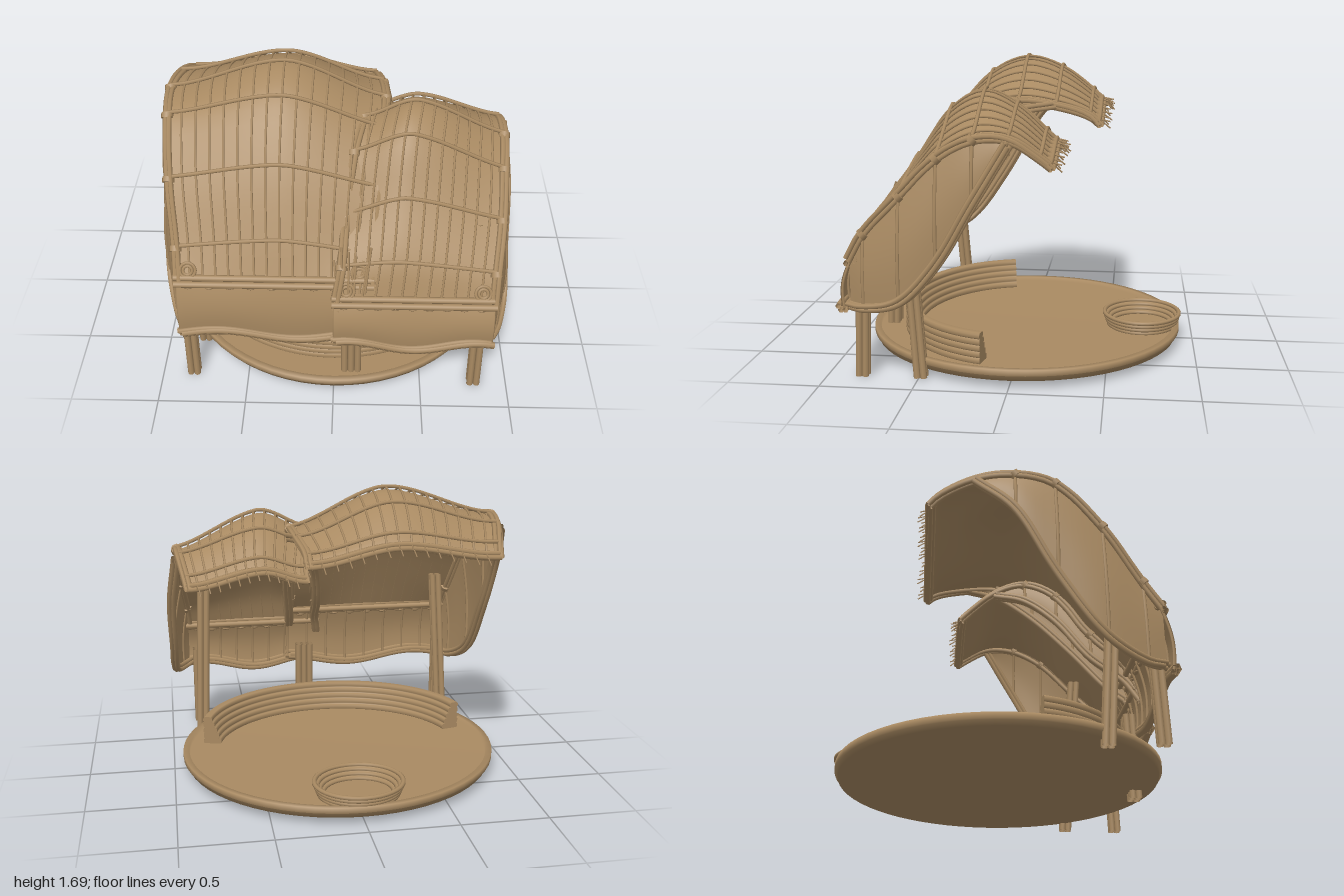
import * as THREE from 'three';

const V = (x, y, z) => new THREE.Vector3(x, y, z);
const lerp = THREE.MathUtils.lerp;
const bamboo = new THREE.MeshStandardMaterial({ color: 0xa98a62, side: THREE.DoubleSide });
bamboo.name = 'bamboo';

function add(group, geometry, name) {
  const mesh = new THREE.Mesh(geometry, bamboo);
  mesh.name = name;
  group.add(mesh);
  return mesh;
}

// A cane following a list of points
function cane(group, pts, r, name, sides = 6) {
  const curve = new THREE.CatmullRomCurve3(pts);
  const segs = pts.length === 2 ? 1 : Math.max(12, pts.length * 2);
  return add(group, new THREE.TubeGeometry(curve, segs, r, sides), name);
}

// Several canes side by side along one path
function bundle(group, pts, r, name, n = 4) {
  for (let i = 0; i < n; i++) {
    const a = (i / n) * Math.PI * 2 + 0.6;
    const off = V(Math.cos(a) * r, Math.sin(a) * r, Math.sin(a + 0.9) * r);
    cane(group, pts.map(p => p.clone().add(off)), r, name);
  }
}

// Surface from a function f(u, v) returning a point
function sheet(group, f, nu, nv, name) {
  const pos = [], idx = [];
  for (let j = 0; j <= nv; j++)
    for (let i = 0; i <= nu; i++) pos.push(...f(i / nu, j / nv).toArray());
  for (let j = 0; j < nv; j++)
    for (let i = 0; i < nu; i++) {
      const a = j * (nu + 1) + i, b = a + nu + 1;
      idx.push(a, a + 1, b, a + 1, b + 1, b);
    }
  const g = new THREE.BufferGeometry();
  g.setAttribute('position', new THREE.Float32BufferAttribute(pos, 3));
  g.setIndex(idx);
  g.computeVertexNormals();
  return add(group, g, name);
}

const sample = (n, f) => Array.from({ length: n + 1 }, (_, i) => f(i / n));

// Canopy shell: each row is [z, ridge y, left y, right y, left x, right x], front to back
function canopy(name, { rows, ridge, lowY, ribs, wave, inner }) {
  const g = new THREE.Group();
  g.name = name;
  const last = rows.length - 1;
  const peak = new THREE.CatmullRomCurve3(rows.map(r => V(0, r[1], r[0])));
  const eaves = [2, 3].map(k => new THREE.CatmullRomCurve3(rows.map(r => V(r[k + 2], r[k], r[0]))));
  // Arch is a rounded gable in front, turning bell-shaped at the back
  const rise = (t, v) => lerp(0.5 * t + 0.5 * Math.sin(t * Math.PI / 2),
    THREE.MathUtils.smoothstep(t, 0, 1), Math.min(1, 1.2 * v));
  const roof = (u, v, lift = 0) => {
    const [L, R] = eaves.map(e => e.getPoint(v));
    const h = rise(u < ridge ? u / ridge : (1 - u) / (1 - ridge), v);
    const p = L.clone().lerp(R, u);
    p.y += h * (peak.getPoint(v).y - lerp(L.y, R.y, ridge)) + lift;
    return p;
  };
  sheet(g, (u, v) => roof(u, v), 28, 32, 'roofSkin');

  // Long ribs with spiky tips past the back edge
  for (let i = 1; i < ribs; i++) {
    const u = i / ribs;
    const pts = sample(20, v => roof(u, v, 0.012));
    cane(g, pts, 0.007, 'roofRib', 5);
    const end = pts[20], len = 0.045 + 0.025 * ((i * 7) % 5) / 4;
    for (const d of [-0.012, 0.008])
      cane(g, [end, V(end.x + d, end.y - 0.03 + 2 * d, end.z - len)], 0.004, 'ribTip', 4);
  }
  // Cross poles over the ribs
  for (let k = 1; k < last; k++)
    cane(g, sample(16, u => roof(u, k / last, 0.02)), 0.011, 'crossPole');
  // Edge bundles
  for (const u of [0, 1]) bundle(g, sample(16, v => roof(u, v)), 0.015, 'eaveBundle');
  bundle(g, sample(12, u => roof(u, 1)), 0.015, 'backEdgeBundle');

  // Side walls: deep and flaring outside, a narrow strip where the canopies overlap
  const flare = [0, 0.03, 0.052, 0.05, 0.045, 0.02];
  eaves.forEach((eave, k) => {
    const dir = k ? 1 : -1;
    const depth = k === inner ? 0.28 : 1;
    const low = new THREE.CatmullRomCurve3(lowY.map((y, i) => V(
      rows[i][4 + k] + dir * depth * flare[i], lerp(rows[i][2 + k], y, depth), rows[i][0])));
    const wall = (t, v) => {
      const p = low.getPoint(v).lerp(eave.getPoint(v * 5 / last), t);
      p.x += dir * depth * 0.025 * Math.sin(t * Math.PI) * Math.sin(Math.PI * v);
      return p;
    };
    sheet(g, wall, 8, 24, 'sideWall');
    bundle(g, sample(20, v => wall(0, v)), 0.015, 'sideLowerBundle');
    for (let i = 1; i < 5; i++) {
      cane(g, sample(6, t => wall(t, i / 5)), 0.01, 'sideRib');
      const tie = add(g, new THREE.CylinderGeometry(0.034, 0.034, 0.03, 8), 'eaveTie');
      tie.position.copy(wall(1, i / 5));
      tie.rotation.x = -0.8;
    }
  });

  // Front beam and hanging valance with a wavy hem
  const [z, y, , , xL, xR] = rows[0];
  for (const [dy, dz] of [[0.02, 0], [-0.02, 0.01], [0, -0.03]])
    cane(g, [V(xL - 0.02, y + dy, z + dz), V(xR + 0.02, y + dy, z + dz)], 0.018, 'frontBeam', 8);
  const hem = s => wave.base + 0.03 * Math.cos(2 * Math.PI * (s - wave.shift) / 0.82);
  const valance = (s, t) => V(lerp(xL - 0.006, xR + 0.006, s), lerp(y, hem(s), t),
    z + 0.045 * t + 0.025 * Math.sin(t * Math.PI));
  sheet(g, valance, 28, 10, 'valance');
  bundle(g, sample(18, s => valance(s, 1)), 0.017, 'hemBundle', 5);
  for (let i = 0; i <= 8; i++) {
    const rib = sample(5, t => valance(i / 8, t).add(V(0, 0, -0.012)));
    cane(g, rib, 0.008, 'valanceRib', 5);
    const knot = add(g, new THREE.SphereGeometry(0.03, 8, 6), 'beamKnot');
    knot.position.set(lerp(xL, xR, (i + 0.5) / 9.2), y - 0.037, z + 0.01);
    knot.scale.set(1, 0.4, 0.5);
  }
  // Rope coils at the beam ends
  for (const x of [xL + 0.06, xR - 0.06])
    for (const r of [0.025, 0.042]) {
      const coil = add(g, new THREE.TorusGeometry(r, 0.009, 6, 14), 'ropeCoil');
      coil.position.set(x, y + 0.06, z - 0.015);
      coil.rotation.x = -0.5;
    }
  return g;
}

// Cluster of canes from a foot to a head point, n canes wide and two deep
function post(model, foot, head, n, name) {
  const g = new THREE.Group();
  g.name = name;
  for (let i = 0; i < n; i++)
    for (const dz of [-0.018, 0.018]) {
      const off = V((i - (n - 1) / 2) * 0.038, 0, dz);
      cane(g, [foot.clone().add(off), head.clone().add(off)], 0.019, 'postCane', 8);
    }
  model.add(g);
}

// Closed lathe outline made of stacked canes, its faces leaning in or out
function stacked(rIn, rOut, y0, n, h, leanIn, leanOut) {
  const face = (r, sign, lean) => Array.from({ length: n }, (_, i) => {
    const y = y0 + i * h, s = r + lean * i, b = s + sign * 0.008;
    return [[s, y], [b, y + h * 0.25], [b, y + h * 0.75], [s, y + h]];
  }).flat();
  const inside = face(rIn, -1, leanIn);
  return [...inside, ...face(rOut, 1, leanOut).reverse(), inside[0]].map(p => new THREE.Vector2(...p));
}

export function createModel() {
  const model = new THREE.Group();
  model.name = 'bambooPavilion';

  // Oval deck with a raised rim
  const deckProfile = [[0, 0.05], [0.925, 0.05], [0.932, 0.08], [0.945, 0.082], [0.945, 0.115],
    [0.91, 0.115], [0.905, 0.092], [0, 0.092]].map(p => new THREE.Vector2(...p));
  const deck = add(model, new THREE.LatheGeometry(deckProfile, 64), 'deck');
  deck.scale.z = 0.972;

  // Curved bench along the front half, stepped on its inner face
  const bench = new THREE.Group();
  bench.name = 'bench';
  bench.scale.z = 0.87;
  model.add(bench);
  const arc = THREE.MathUtils.degToRad(76.5);
  const benchProfile = stacked(0.735, 0.83, 0.09, 5, 0.035, 0.014, 0);
  add(bench, new THREE.LatheGeometry(benchProfile, 40, -arc, arc * 2), 'benchArc');
  for (const a of [-arc, arc]) {
    const cap = add(bench, new THREE.ShapeGeometry(new THREE.Shape(benchProfile)), 'benchEnd');
    cap.rotation.y = a - Math.PI / 2;
  }

  // Round basin at the back, flaring upward
  const basin = add(model, new THREE.LatheGeometry(
    stacked(0.195, 0.225, 0.09, 4, 0.022, 0.016, 0.009), 40), 'basin');
  basin.position.z = -0.695;
  basin.scale.z = 0.9;

  // Upright front posts and long leaning back posts
  for (const [x, z, n] of [[-0.82, 0.765, 2], [0.1, 0.8, 3], [0.81, 0.81, 2]])
    post(model, V(x, 0.01, z), V(x, 0.52, z - 0.015), n, 'frontPost');
  for (const x of [-0.785, 0.81])
    post(model, V(x, 0.01, 0.49), V(x * 0.95, 1.02, 0.57), 2, 'backPost');

  model.add(canopy('tallCanopy', {
    ridge: 0.54, ribs: 15, inner: 1, wave: { base: 0.405, shift: 0.2 },
    lowY: [0.43, 0.43, 0.54, 0.88, 1.26, 1.46],
    rows: [
      [0.80, 0.76, 0.76, 0.76, -0.85, 0.20],
      [0.70, 0.95, 0.90, 0.87, -0.86, 0.20],
      [0.49, 1.30, 1.21, 1.17, -0.90, 0.23],
      [0.24, 1.58, 1.46, 1.39, -0.92, 0.26],
      [0.02, 1.67, 1.50, 1.45, -0.93, 0.275],
      [-0.19, 1.61, 1.48, 1.43, -0.90, 0.26],
      [-0.38, 1.47, 1.40, 1.37, -0.85, 0.23],
      [-0.43, 1.42, 1.35, 1.33, -0.84, 0.23]],
  }));
  model.add(canopy('lowCanopy', {
    ridge: 0.38, ribs: 12, inner: 0, wave: { base: 0.385, shift: 0.08 },
    lowY: [0.42, 0.42, 0.47, 0.68, 1.0, 1.30],
    rows: [
      [0.85, 0.67, 0.67, 0.67, 0.01, 0.87],
      [0.77, 0.87, 0.84, 0.81, 0.04, 0.88],
      [0.57, 1.15, 1.04, 1.02, 0.06, 0.91],
      [0.37, 1.43, 1.32, 1.22, 0.10, 0.92],
      [0.18, 1.525, 1.42, 1.32, 0.15, 0.93],
      [0.00, 1.45, 1.37, 1.32, 0.18, 0.92],
      [-0.16, 1.31, 1.25, 1.22, 0.22, 0.89],
      [-0.21, 1.26, 1.20, 1.18, 0.22, 0.88]],
  }));

  // Lashing sticks where the two canopies meet
  for (let i = 0; i < 6; i++)
    cane(model, [V(0.02 + i * 0.03, 0.72, 0.84), V(i * 0.04, 0.88 + 0.03 * ((i * 3) % 4), 0.75)], 0.007, 'lashingStick', 5);
  return model;
}
